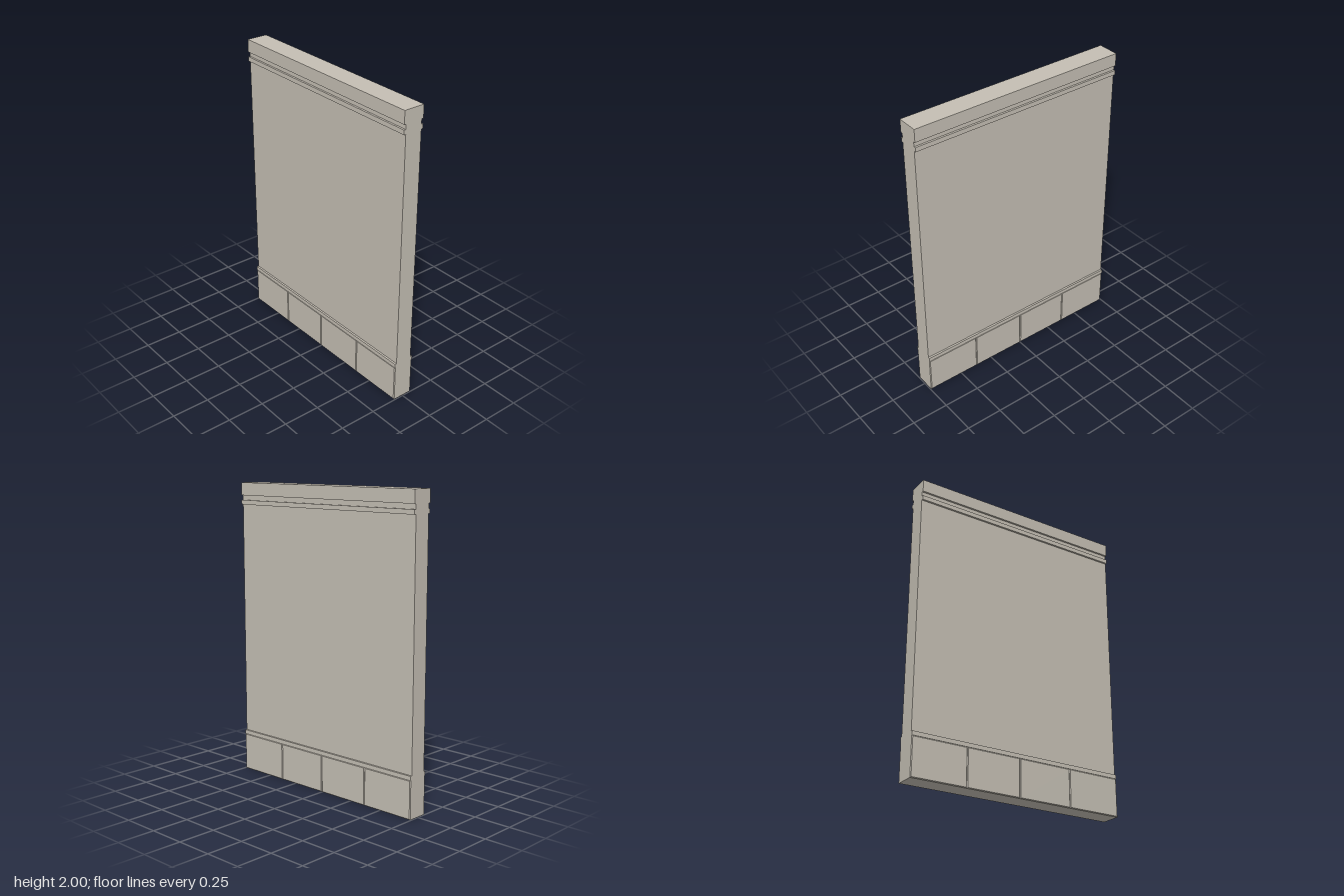
import * as THREE from 'three';

const WIDTH = 1.49, DEPTH = 0.144, CORE_DEPTH = 0.118;

export function createModel() {
  const group = new THREE.Group();
  group.name = 'wallPanel';
  const plaster = new THREE.MeshStandardMaterial({ color: 0xc4beb3 });
  plaster.name = 'warm grey plaster';

  // Full-width horizontal course between two heights
  function course(name, y0, y1, depth) {
    const mesh = new THREE.Mesh(new THREE.BoxGeometry(WIDTH, y1 - y0, depth), plaster);
    mesh.position.y = (y0 + y1) / 2;
    mesh.name = name;
    group.add(mesh);
  }

  course('wallCore', 0.253, 1.915, CORE_DEPTH);
  course('topBand', 1.915, 2, DEPTH);
  course('upperMoulding', 1.853, 1.883, DEPTH);
  course('baseMoulding', 0.253, 0.28, DEPTH);

  // Base blocks, chamfered so that the joints form V grooves on both faces
  const count = 4, w = WIDTH / count, h = 0.253, bevel = 0.005;
  const outline = new THREE.Shape([
    new THREE.Vector2(-w / 2, 0), new THREE.Vector2(w / 2, 0),
    new THREE.Vector2(w / 2, h), new THREE.Vector2(-w / 2, h),
  ]);
  const blockGeometry = new THREE.ExtrudeGeometry(outline, {
    depth: DEPTH - 2 * bevel, bevelEnabled: true, bevelSegments: 1,
    bevelSize: bevel, bevelThickness: bevel, bevelOffset: -bevel,
  });
  blockGeometry.translate(0, 0, -DEPTH / 2 + bevel);
  for (let i = 0; i < count; i++) {
    const block = new THREE.Mesh(blockGeometry, plaster);
    block.position.x = (i - (count - 1) / 2) * w;
    block.name = `baseBlock${i + 1}`;
    group.add(block);
  }
  return group;
}
